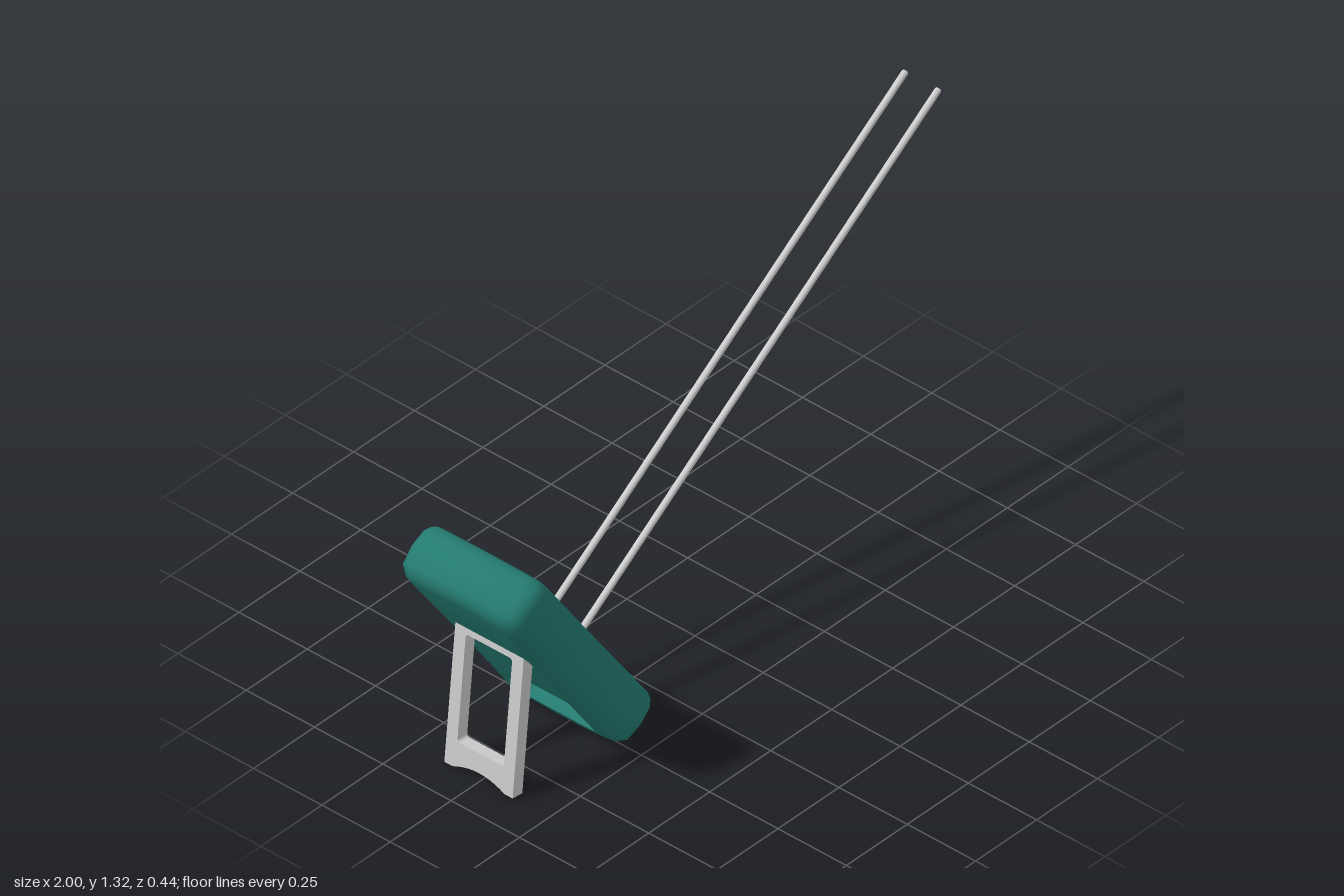
import * as THREE from 'three';
import { toCreasedNormals } from 'three/addons/utils/BufferGeometryUtils.js';

const mat = (color) => new THREE.MeshStandardMaterial({ color, side: THREE.DoubleSide });
const grey = mat(0xcccccc), teal = mat(0x247a70), dark = mat(0x505050), black = mat(0x0c0c0c);
const green = mat(0x53774f), red = mat(0xb02a22), blue = mat(0x2f6fb8);

function add(parent, name, geometry, material, x = 0, y = 0, z = 0) {
  const mesh = new THREE.Mesh(geometry, material);
  mesh.name = name;
  mesh.position.set(x, y, z);
  parent.add(mesh);
  return mesh;
}

// Counter-clockwise points of a rounded rectangle, always the same count
function roundedRect(w, h, r, cy = 0) {
  const corners = [[1, 1], [-1, 1], [-1, -1], [1, -1]], arcs = [], pts = [];
  corners.forEach(([sx, sy], c) => {
    const arc = [];
    for (let i = 0; i <= 6; i++) {
      const a = (c + i / 6) * Math.PI / 2;
      arc.push(new THREE.Vector2(sx * (w - r) + r * Math.cos(a), cy + sy * (h - r) + r * Math.sin(a)));
    }
    arcs.push(arc);
  });
  arcs.forEach((arc, c) => {
    pts.push(...arc);
    const a = arc[6], b = arcs[(c + 1) % 4][0];
    for (let i = 1; i < 12; i++) pts.push(a.clone().lerp(b, i / 12));
  });
  return pts;
}

// Skin through rounded rectangles; k bows the ends out and pinches the waist
function loft(loops) {
  const pos = [], index = [];
  let n = 0;
  for (const [w, h, r, z, k, cy] of loops) {
    const pts = roundedRect(w, h, r, cy);
    n = pts.length;
    for (const p of pts) {
      const x = p.x - (k ? Math.sign(p.x) * Math.abs(p.x / w) * 0.017 * k * Math.cos(p.y / h * Math.PI / 2) : 0);
      const y = p.y - (k ? 0.035 * k * (p.x / w) ** 2 * p.y / h : 0);
      pos.push(x, y, z);
    }
  }
  for (let i = 0; i < loops.length - 1; i++) {
    for (let j = 0; j < n; j++) {
      const a = i * n + j, b = i * n + (j + 1) % n;
      index.push(a, b, b + n, a, b + n, a + n);
    }
  }
  const g = new THREE.BufferGeometry();
  g.setAttribute('position', new THREE.Float32BufferAttribute(pos, 3));
  g.setIndex(index);
  return toCreasedNormals(g, 0.75);
}

// Flat plate from y0 to y1 with optional hole
function plate(w, y0, y1, r, depth, hole) {
  const shape = new THREE.Shape(roundedRect(w, (y1 - y0) / 2, r, (y0 + y1) / 2));
  if (hole) shape.holes.push(hole);
  return new THREE.ExtrudeGeometry(shape, { depth, bevelEnabled: false, curveSegments: 32 });
}

// Turned part whose axis points out of the face (+z)
function turned(points, segments = 32) {
  const g = new THREE.LatheGeometry(points.map(([r, z]) => new THREE.Vector2(r, z)), segments);
  return toCreasedNormals(g.rotateX(Math.PI / 2), 0.6);
}

export function createModel() {
  const model = new THREE.Group();
  model.name = 'multimeter';

  // Meter leaning back by 35 degrees and facing +x
  const meter = new THREE.Group();
  meter.name = 'meter';
  meter.rotation.set(-35 * Math.PI / 180, Math.PI / 2, 0, 'YXZ');
  meter.position.set(-0.693, 0.4, 0);
  model.add(meter);

  // Rubber holster: back recess, rounded sides, front rim
  add(meter, 'holster', loft([
    [0, 0.2, 0, -0.05, 0, -0.11],
    [0.13, 0.245, 0.02, -0.05, 0, -0.11],
    [0.135, 0.25, 0.02, -0.084, 0, -0.11],
    [0.175, 0.387, 0.03, -0.084, 0.7, 0],
    [0.2, 0.42, 0.04, -0.076, 0.9, 0],
    [0.218, 0.442, 0.04, -0.054, 1, 0],
    [0.223, 0.448, 0.04, 0, 1, 0],
    [0.22, 0.444, 0.04, 0.054, 1, 0],
    [0.208, 0.425, 0.04, 0.076, 0.6, 0],
    [0.196, 0.402, 0.03, 0.084, 0.3, 0],
    [0.186, 0.387, 0.02, 0.082, 0, 0],
    [0.185, 0.385, 0.02, 0.05, 0, 0],
  ]), teal);

  // Face: gasket, lower panel, display surround and screen
  const dialY = -0.025;
  const dialHole = () => new THREE.Path().absarc(0, dialY, 0.116, 0, Math.PI * 2, true);
  add(meter, 'gasket', plate(0.186, -0.386, 0.386, 0.02, 0.02, dialHole()), dark, 0, 0, 0.046);
  add(meter, 'facePanel', plate(0.18, -0.378, 0.213, 0.012, 0.014, dialHole()), grey, 0, 0, 0.06);
  const window_ = new THREE.Path(roundedRect(0.163, 0.047, 0.004, 0.291).reverse());
  add(meter, 'displaySurround', plate(0.18, 0.213, 0.383, 0.012, 0.014, window_), dark, 0, 0, 0.06);
  add(meter, 'screen', new THREE.BoxGeometry(0.326, 0.094, 0.01), green, 0, 0.291, 0.064);

  // Selector dial: scooped dish with a waisted grip across it
  add(meter, 'dialDish', turned([
    [0, 0.034], [0.04, 0.036], [0.07, 0.042], [0.092, 0.052], [0.105, 0.066],
    [0.108, 0.077], [0.114, 0.077], [0.117, 0.073], [0.117, 0.06],
  ], 48), grey, 0, dialY, 0);
  const grip = new THREE.Shape();
  grip.moveTo(0.022, -0.104);
  grip.quadraticCurveTo(0.004, 0, 0.022, 0.104);
  grip.lineTo(-0.022, 0.104);
  grip.quadraticCurveTo(-0.004, 0, -0.022, -0.104);
  add(meter, 'dialGrip', new THREE.ExtrudeGeometry(grip, {
    depth: 0.045, bevelThickness: 0.004, bevelSize: 0.003, bevelSegments: 1, curveSegments: 10,
  }), grey, 0, dialY, 0.036);
  add(meter, 'dialPointer', new THREE.BoxGeometry(0.004, 0.2, 0.002), dark, 0, dialY, 0.0855);

  // Sockets, two of them holding probe plugs and long leads
  const socketY = -0.22;
  [[-0.121, black], [0, red], [0.121, blue]].forEach(([x, color], i) => {
    if (i === 0) {
      add(meter, 'emptySocket', turned([[0, 0.075], [0.032, 0.075], [0.032, 0.065]]), color, x, socketY);
      return;
    }
    add(meter, 'socketRing', turned([
      [0.022, 0.07], [0.022, 0.082], [0.029, 0.082], [0.032, 0.079], [0.032, 0.065],
    ]), color, x, socketY);
    add(meter, 'plug', turned([
      [0.026, 0.07], [0.026, 0.084], [0.021, 0.088], [0.019, 0.118], [0.015, 0.124], [0, 0.124],
    ], 24), grey, x, socketY);
    add(meter, 'lead', turned([[0.01, 0.12], [0.01, 1.908], [0.007, 1.912], [0, 1.912]], 12), grey, x, socketY);
  });

  // Folding stand: open frame with a concave foot
  const frame = new THREE.Shape();
  frame.moveTo(-0.125, 0);
  frame.lineTo(-0.095, 0);
  frame.quadraticCurveTo(0, 0.045, 0.095, 0);
  frame.lineTo(0.125, 0);
  frame.lineTo(0.125, 0.47);
  frame.lineTo(-0.125, 0.47);
  frame.holes.push(new THREE.Path(roundedRect(0.085, 0.175, 0.01, 0.26).reverse()));
  const stand = add(model, 'stand', new THREE.ExtrudeGeometry(frame, {
    depth: 0.04, bevelEnabled: false, curveSegments: 10,
  }).translate(0, 0, -0.02), grey, -0.868, 0.012, 0);
  stand.rotation.set(0.1, Math.PI / 2, 0, 'YXZ');

  return model;
}
